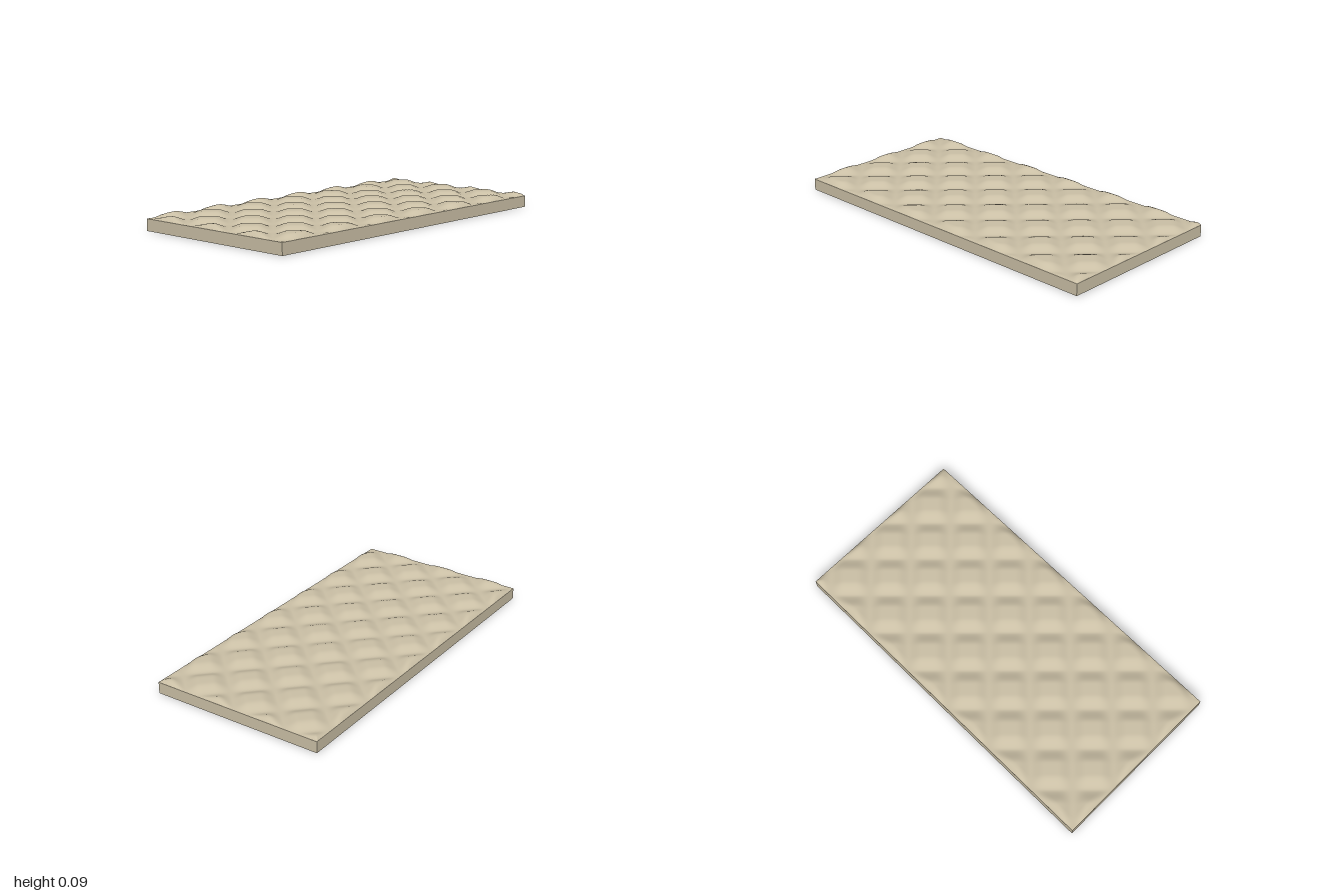
import * as THREE from 'three';

const WIDTH = 2, DEPTH = 1, BASE = 0.065, PUFF = 0.0245;
const PITCH = 0.314; // spacing of the stitch lines along x and z

// 0 on a diagonal stitch line, 1 on the flat of a cushion
function puff(t) {
  const cell = t / PITCH;
  const distance = Math.abs(cell - Math.round(cell)) * PITCH * Math.SQRT1_2;
  return THREE.MathUtils.smoothstep(distance, -0.008, 0.078);
}

// Cushion height, rounded down to the base along the border
function quiltHeight(x, z) {
  const border = Math.min(WIDTH / 2 - Math.abs(x), DEPTH / 2 - Math.abs(z));
  const taper = Math.sqrt(THREE.MathUtils.clamp(border / 0.035, 0, 1));
  return puff(x + z + 0.88) * puff(x - z + 0.82) * taper;
}

export function createModel() {
  const model = new THREE.Group();
  model.name = 'quiltedPanel';
  const fabric = new THREE.MeshStandardMaterial({ color: 0xcbc0a6 });
  fabric.name = 'beige fabric';

  // Flat slab
  const base = new THREE.Mesh(new THREE.BoxGeometry(WIDTH, BASE, DEPTH), fabric);
  base.name = 'base';
  base.position.y = BASE / 2;
  model.add(base);

  // Padded top with diamond stitching
  const geometry = new THREE.PlaneGeometry(WIDTH, DEPTH, 160, 80);
  geometry.rotateX(-Math.PI / 2);
  const position = geometry.attributes.position;
  for (let i = 0; i < position.count; i++) {
    const h = quiltHeight(position.getX(i), position.getZ(i));
    position.setY(i, BASE + 0.0005 + PUFF * h);
  }
  geometry.computeVertexNormals();
  const top = new THREE.Mesh(geometry, fabric);
  top.name = 'quiltedTop';
  model.add(top);

  return model;
}
